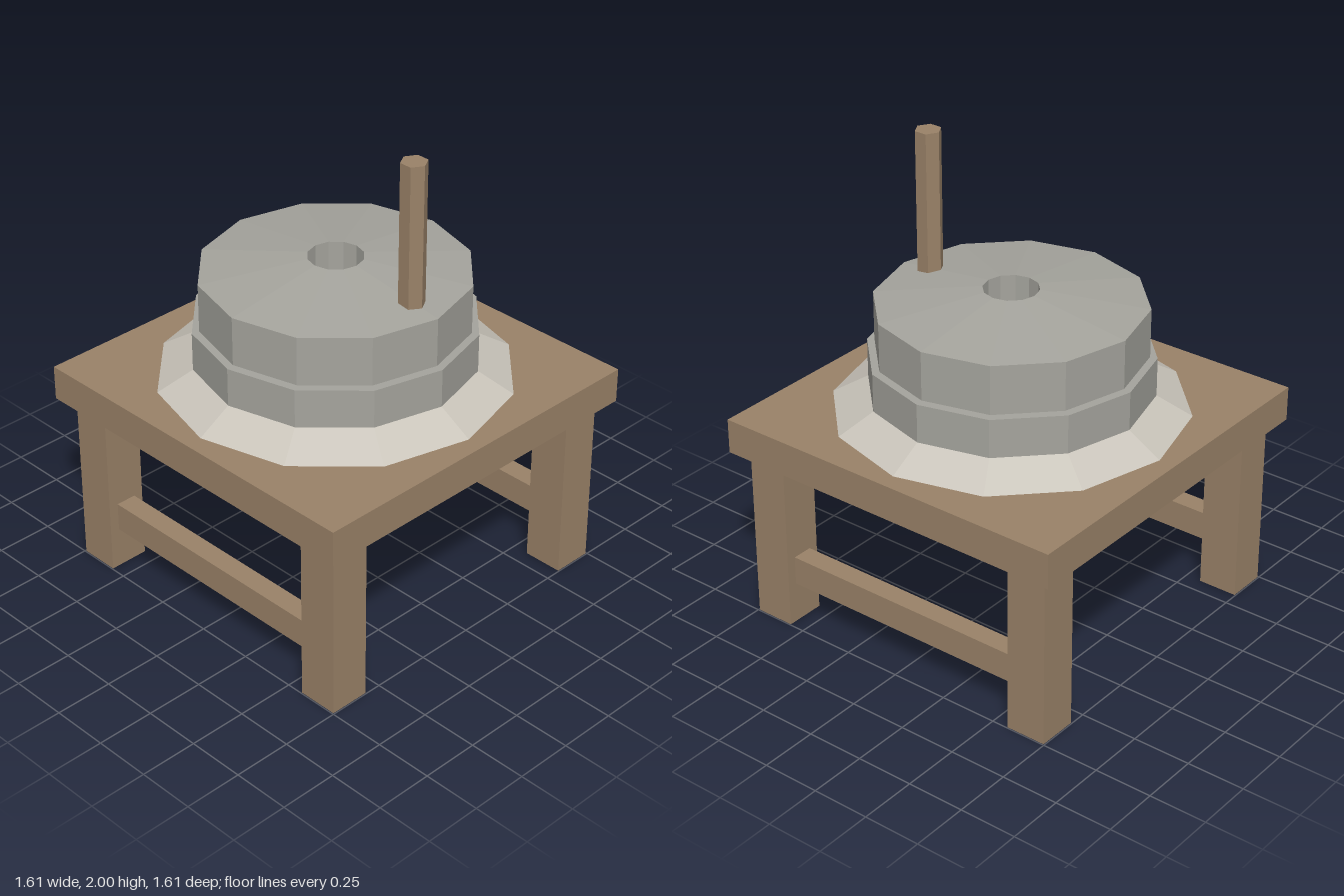
import * as THREE from 'three';

export function createModel() {
  const model = new THREE.Group();
  const material = (name, color) => {
    const m = new THREE.MeshStandardMaterial({ color });
    m.name = name;
    return m;
  };
  const wood = material('wood', 0x9a8268);
  const stone = material('stone', 0xa5a49d);
  const flour = material('flour', 0xcac5bb);

  const add = (name, geometry, mat, x = 0, y = 0, z = 0) => {
    const mesh = new THREE.Mesh(geometry, mat);
    mesh.name = name;
    mesh.position.set(x, y, z);
    model.add(mesh);
    return mesh;
  };
  // Faceted, flat-shaded geometry
  const faceted = (geometry) => {
    const g = geometry.toNonIndexed();
    g.computeVertexNormals();
    return g;
  };
  const lathe = (points) =>
    faceted(new THREE.LatheGeometry(points.map(([r, y]) => new THREE.Vector2(r, y)), 12));

  // Table: top, four legs, front and back stretchers
  add('tableTop', new THREE.BoxGeometry(1.61, 0.15, 1.61), wood, 0, 0.84, 0);
  for (const z of [-1, 1]) {
    for (const x of [-1, 1]) {
      add('leg', new THREE.BoxGeometry(0.175, 0.765, 0.175), wood, x * 0.658, 0.3825, z * 0.658);
    }
    add('stretcher', new THREE.BoxGeometry(1.2, 0.126, 0.09), wood, 0, 0.243, z * 0.658);
  }

  // Heap of flour, spilling round the stones and showing through the eye
  add('flourHeap', lathe([[0.732, 0.915], [0, 1.33]]), flour);

  // Lower stone
  add('lowerStone', lathe([[0.585, 0.915], [0.585, 1.165], [0.25, 1.165]]), stone);

  // Upper stone with a shallow conical top and a central eye
  add('upperStone', lathe([
    [0.115, 1.17], [0.555, 1.17], [0.555, 1.38], [0.115, 1.435], [0.115, 1.17],
  ]), stone);

  // Upright turning handle
  const handle = add('handle', faceted(new THREE.CylinderGeometry(0.055, 0.055, 0.62, 6)), wood, 0.415, 1.69, 0);
  handle.rotation.y = Math.PI / 6;

  return model;
}
